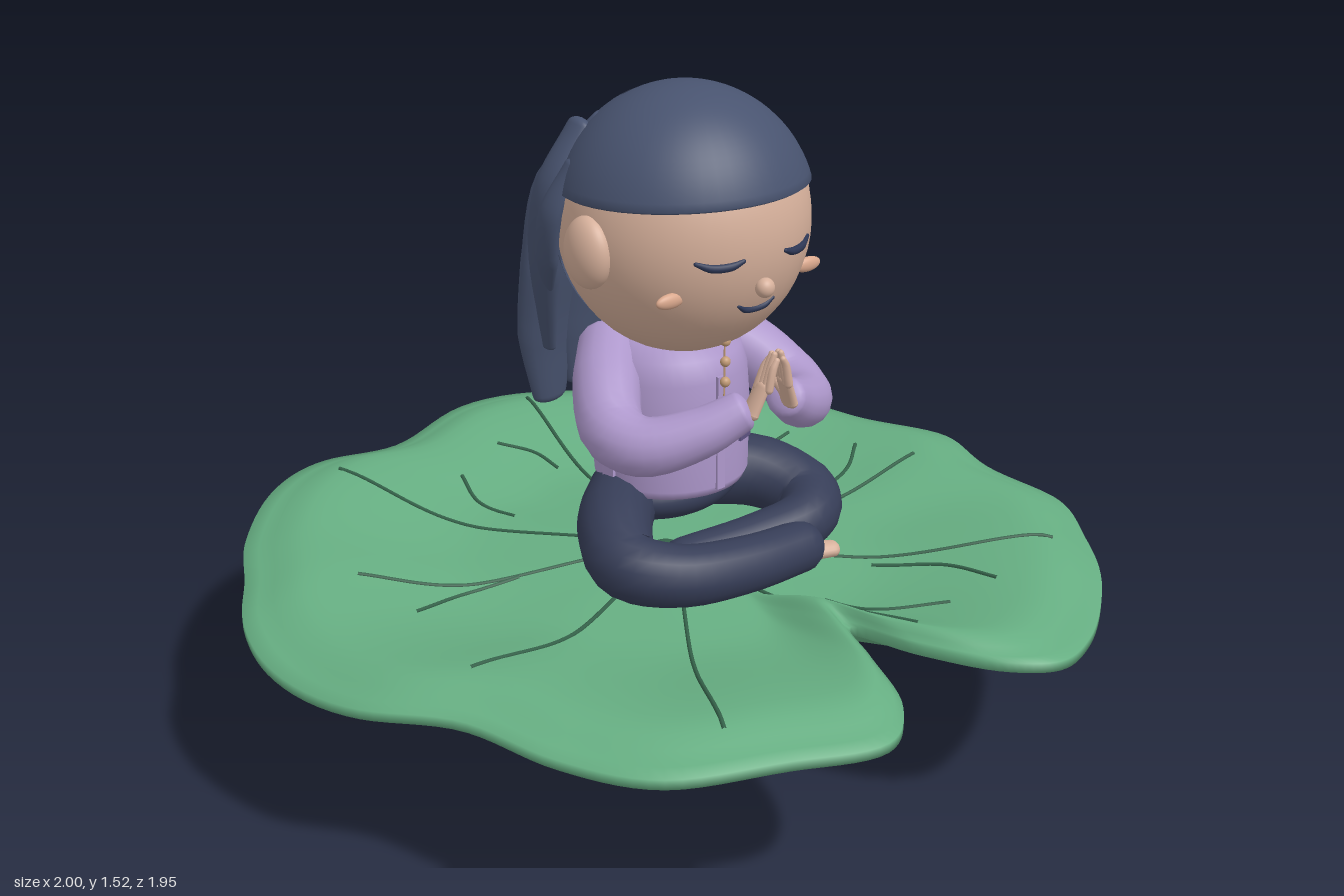
import * as THREE from 'three';

const mat = (name, color, side = THREE.FrontSide) => {
  const m = new THREE.MeshStandardMaterial({ color, side });
  m.name = name;
  return m;
};
const V = (p) => new THREE.Vector3(...p);
const smooth = THREE.MathUtils.smoothstep;

// Joins closed rings of points into one smooth surface
function sew(rings) {
  const n = rings[0].length, pos = [], idx = [];
  rings.forEach((r) => r.forEach((p) => pos.push(p.x, p.y, p.z)));
  for (let i = 0; i < rings.length - 1; i++) for (let j = 0; j < n; j++) {
    const a = i * n + j, b = i * n + (j + 1) % n;
    idx.push(a, b, a + n, b, b + n, a + n);
  }
  const g = new THREE.BufferGeometry();
  g.setAttribute('position', new THREE.Float32BufferAttribute(pos, 3));
  g.setIndex(idx);
  g.computeVertexNormals();
  return g;
}

// Tapered round or flattened limb along a curve; flat = depth / width
function limb(points, radii, { flat = 1, side = [0, 1, 0], round = 1, n = 16, steps = 24 } = {}) {
  const curve = new THREE.CatmullRomCurve3(points.map(V));
  const rad = (t) => {
    const f = t * (radii.length - 1), i = Math.min(Math.floor(f), radii.length - 2);
    return THREE.MathUtils.lerp(radii[i], radii[i + 1], f - i);
  };
  const rows = [];
  for (let k = 0; k <= 5; k++) rows.push([0, -Math.cos(k * Math.PI / 10), Math.max(Math.sin(k * Math.PI / 10), 0.01)]);
  for (let k = 1; k < steps; k++) rows.push([k / steps, 0, 1]);
  for (let k = 5; k >= 0; k--) rows.push([1, Math.cos(k * Math.PI / 10), Math.max(Math.sin(k * Math.PI / 10), 0.01)]);
  return sew(rows.map(([t, off, s]) => {
    const T = curve.getTangent(t), r = rad(t);
    const B = V(side).addScaledVector(T, -V(side).dot(T)).normalize();
    const N = T.clone().cross(B);
    const c = curve.getPoint(t).addScaledVector(T, off * r * flat * round);
    return Array.from({ length: n }, (_, j) => {
      const a = j / n * Math.PI * 2;
      return c.clone().addScaledVector(B, Math.cos(a) * r * s).addScaledVector(N, Math.sin(a) * r * s * flat);
    });
  }));
}

// Leaf outline (x, z), clockwise from the back
const outline = new THREE.CatmullRomCurve3([
  [.08, -.98], [.35, -.91], [.54, -.8], [.66, -.64], [.88, -.51], [.95, -.32], [1, -.08], [.94, .13],
  [.95, .37], [.83, .56], [.68, .74], [.43, .92], [.28, .97], [.18, .91], [.09, .75], [.035, .59],
  [-.01, .7], [-.09, .88], [-.2, .96], [-.4, .9], [-.64, .8], [-.76, .61], [-.83, .4], [-.96, .2],
  [-1, -.08], [-.96, -.27], [-.87, -.43], [-.77, -.61], [-.59, -.8], [-.39, -.9], [-.18, -.9],
].map(([x, z]) => new THREE.Vector3(x, 0, z)), true);
const rim = outline.getPoints(220).slice(0, -1);
const fineRim = outline.getPoints(3000);

// Upper side: low mound in the middle, raised ring, drooping wavy edge
function leafTop(t, a) {
  const wave = 0.01 * Math.sin(5 * a + 0.6) + 0.007 * Math.sin(9 * a) + 0.022 * Math.cos(a) ** 2 - 0.014 * Math.sin(a);
  return 0.405 - 0.02 * smooth(t, 0.1, 0.5) + 0.05 * smooth(t, 0.45, 0.86) - 0.042 * smooth(t, 0.86, 1) + t * t * wave;
}
function leafBottom(t, a) {
  return 0.302 + (leafTop(1, a) - 0.022 - 0.302) * smooth(t, 0.25, 1.02);
}
function leafY(x, z) {
  const a = Math.atan2(x, z);
  let best = 9, r = 1;
  for (const p of fineRim) {
    const d = Math.abs(Math.atan2(p.x, p.z) - a);
    if (d < best) { best = d; r = Math.hypot(p.x, p.z); }
  }
  return leafTop(Math.hypot(x, z) / r, a);
}
function leafGeometry() {
  const rows = [];
  for (let i = 0; i <= 28; i++) rows.push([Math.max(i / 28, 0.005), leafTop]);
  for (let i = 28; i >= 0; i--) rows.push([Math.max(i / 28, 0.005), leafBottom]);
  return sew(rows.map(([t, height]) => rim.map((p) =>
    new THREE.Vector3(p.x * t, height(t, Math.atan2(p.x, p.z)), p.z * t))));
}

// Veins as x, z through three points each, from tip to root
const veins = [
  [-.43, -.75, -.33, -.46, -.1, -.13], [-.17, -.6, -.2, -.48, -.17, -.37], [.2, -.84, .13, -.56, .05, -.13],
  [0, -.69, .06, -.61, .07, -.52], [.55, -.49, .4, -.31, .13, -.1], [.66, -.31, .51, -.28, .41, -.22],
  [.73, -.13, .62, -.05, .41, -.01], [.78, .03, .55, .045, .16, .02], [.71, .56, .51, .44, .13, .13],
  [.45, .63, .43, .48, .33, .35], [.29, .64, .16, .53, .12, .42], [.12, .71, .07, .53, .02, .18],
  [-.47, .77, -.34, .53, -.08, .15], [-.73, .27, -.5, .23, -.14, .08], [-.67, -.27, -.5, -.16, -.13, -.04],
  [-.64, -.08, -.5, -.11, -.35, -.1],
];

export function createModel() {
  const root = new THREE.Group();
  root.name = 'meditatingFigureOnLeaf';
  const leaf = mat('leaf green', 0x66ae82), vein = mat('vein green', 0x35624a), skin = mat('skin', 0xd6b09b),
    cheek = mat('cheek', 0xd9a78c), hair = mat('hair blue', 0x48536f, THREE.DoubleSide), pants = mat('trousers navy', 0x363d57),
    shirt = mat('shirt lilac', 0xae98cc), trim = mat('shirt trim', 0x5d5280), bead = mat('bead tan', 0xc49d78),
    line = mat('face line navy', 0x2c3654);
  const add = (name, geo, material, pos = [0, 0, 0], scale = [1, 1, 1]) => {
    const m = new THREE.Mesh(geo, material);
    m.name = name;
    m.position.set(...pos);
    m.scale.set(...scale);
    root.add(m);
    return m;
  };
  const ball = new THREE.SphereGeometry(1, 40, 28);

  // Leaf, veins and stalk
  add('leaf', leafGeometry(), leaf);
  veins.forEach(([x0, z0, x1, z1, x2, z2]) => {
    const path = new THREE.CatmullRomCurve3([[x0, z0], [x1, z1], [x2, z2]].map(([x, z]) => new THREE.Vector3(x, 0, z)));
    const pts = path.getPoints(14).map((p) => p.setY(leafY(p.x, p.z) + 0.001));
    add('leafVein', new THREE.TubeGeometry(new THREE.CatmullRomCurve3(pts), 28, 0.005, 6), vein);
  });
  add('leafHub', ball, vein, [0, 0.406, 0], [0.03, 0.006, 0.03]);
  add('stalk', limb([[-.08, .008, -.03], [-.06, .08, -.018], [-.038, .16, -.002], [-.012, .23, .012], [.005, .27, .018], [.018, .305, .02]],
    [.024, .029, .033, .037, .024, .05], { side: [1, 0, 0], round: 0.15 }), leaf);

  // Shirt with placket and pockets
  const torso = [[0, .6], [.17, .6], [.18, .62], [.182, .78], [.175, .87], [.16, .92], [.12, .955], [0, .965]];
  add('shirtBody', new THREE.LatheGeometry(torso.map((p) => new THREE.Vector2(...p)), 40), shirt, [.008, 0, .01], [1, 1, .95]);
  add('placket', new THREE.BoxGeometry(.022, .27, .008), shirt, [.01, .75, .182]);
  for (const s of [-1, 1]) {
    for (const [y, w] of [[.762, .085], [.712, .06]]) {
      const seam = add('pocketSeam', new THREE.BoxGeometry(w, .009, .006), trim, [.008 + s * .09, y, .162]);
      seam.rotation.set(0, s * .5, s * -.12);
    }
    add('sideSlit', new THREE.BoxGeometry(.008, .15, .04), shirt, [.008 + s * .181, .695, .012]);
  }

  // Crossed legs and feet
  add('seat', ball, pants, [.008, .57, 0], [.18, .07, .13]);
  add('rightLeg', limb([[-.09, .565, -.03], [-.21, .55, .08], [-.26, .51, .19], [-.18, .49, .27], [-.02, .48, .305], [.14, .475, .305]],
    [.085, .085, .078, .07, .065, .06]), pants);
  add('leftLeg', limb([[.1, .565, -.03], [.235, .55, .06], [.285, .515, .17], [.22, .5, .24], [.08, .485, .23], [-.1, .475, .19]],
    [.085, .085, .078, .068, .06, .05]), pants);
  add('rightFoot', limb([[.14, .462, .31], [.215, .46, .335]], [.03, .026], { side: [0, 0, 1], flat: .7 }), skin);
  add('leftFoot', limb([[-.1, .47, .19], [-.18, .465, .17]], [.035, .025]), skin);

  // Sleeves and praying hands
  for (const s of [-1, 1]) {
    const at = (pts) => pts.map(([x, y, z]) => [.01 + s * x, y, z]);
    add('sleeve', limb(at([[.12, .91, -.06], [.2, .865, .03], [.25, .8, .12], [.23, .785, .2], [.14, .82, .28], [.065, .865, .325]]),
      [.075, .076, .072, .066, .056, .045], { round: 0.5 }), shirt);
    add('palm', limb(at([[.055, .865, .345], [.03, .925, .355]]), [.024, .02], { side: [0, 0, 1], flat: .6 }), skin);
    for (let k = 0; k < 4; k++) add('finger', limb(at([[.034 - k * .002, .92, .342 + k * .01], [.018, .965, .346 + k * .009],
      [.009, 1.0 - Math.abs(k - 1.5) * .012, .35 + k * .008]]), [.01, .009, .007], { side: [0, 0, 1], n: 8, steps: 6 }), skin);
    add('thumb', limb(at([[.045, .885, .338], [.016, .93, .328]]), [.011, .008], { side: [0, 0, 1], n: 8, steps: 6 }), skin);
  }

  // String of beads down the chest
  add('beadString', new THREE.CylinderGeometry(.002, .002, .24, 6), bead, [.01, .85, .193]);
  for (let k = 0; k < 6; k++) add('bead', ball, bead, [.01, .732 + k * .048, .196], [.012, .012, .011]);

  // Head, ears and face
  const C = [.01, 1.22, .05], R = [.282, .297, .276];
  const onHead = (x, y) => new THREE.Vector3(x + C[0], y,
    C[2] + R[2] * Math.sqrt(Math.max(0, 1 - (x / R[0]) ** 2 - ((y - C[1]) / R[1]) ** 2)));
  add('head', ball, skin, C, R);
  add('nose', ball, skin, [.01, 1.13, .322], [.022, .022, .02]);
  const faceLine = (name, pts, r) => add(name, limb(pts.map(([x, y]) => onHead(x, y).toArray()), [r * .5, r, r, r * .5],
    { n: 8, steps: 14 }), line);
  faceLine('mouth', [[-.048, 1.09], [-.025, 1.077], [.025, 1.077], [.048, 1.09]], .0075);
  for (const s of [-1, 1]) {
    faceLine('closedEye', [[s * .058, 1.2], [s * .085, 1.191], [s * .125, 1.191], [s * .155, 1.203]], .0095);
    add('cheek', ball, cheek, [C[0] + s * .192, 1.12, .242], [.037, .017, .012]);
    add('ear', ball, skin, [C[0] + s * .275, 1.2, .07], [.044, .08, .066]);
  }

  // Hair cap with a thick rim that rises towards the forehead
  const cap = [[.24, .075], [.272, .072]];
  for (let k = 0; k <= 20; k++) {
    const a = .265 + (Math.PI / 2 - .265) * k / 20;
    cap.push([Math.max(0, .29 * Math.cos(a)), .295 * Math.sin(a)]);
  }
  const capGeo = new THREE.LatheGeometry(cap.map((p) => new THREE.Vector2(...p)), 48);
  const cp = capGeo.attributes.position;
  for (let i = 0; i < cp.count; i++) cp.setY(i, cp.getY(i) + .07 * cp.getZ(i) * (1 - cp.getY(i) / .295));
  add('hairCap', capGeo, hair, [.01, 1.225, .05], [1, 1, .975]);
  add('backHair', new THREE.SphereGeometry(1, 32, 24, Math.PI + .42, Math.PI - .84, .5, 2.1), hair, [.01, 1.225, .045], [.288, .295, .276]);

  // Long locks down the back
  for (let k = -2; k <= 2; k++) {
    const x = k * .09, e = Math.abs(k);
    add('backLock', limb([[.01 + x * .55, 1.42, -.08], [.01 + x * .9, 1.29, -.155], [.01 + x, 1.1, -.172 - e * .006], [.01 + x, .92, -.2 - e * .01],
      [.01 + x * .95, .76 + (e === 1 ? .03 : 0), -.213 - e * .008]], [.06, .085, .09, .078, .045], { side: [1, 0, 0], flat: .48 }), hair);
  }
  for (const s of [-1, 1]) {
    const lock = (name, pts, radii) => add(name, limb(pts.map(([x, y, z]) => [.01 + s * x, y, z]), radii,
      { side: [0, 0, 1], flat: .55 }), hair);
    lock('sideLock', [[.17, 1.42, -.1], [.24, 1.29, -.11], [.235, 1.1, -.15], [.2, .9, -.19]], [.035, .05, .052, .025]);
    lock('frontLock', [[.225, 1.35, -.045], [.27, 1.25, -.07], [.262, 1.14, -.1], [.235, 1.05, -.135]], [.03, .036, .034, .015]);
  }
  return root;
}
